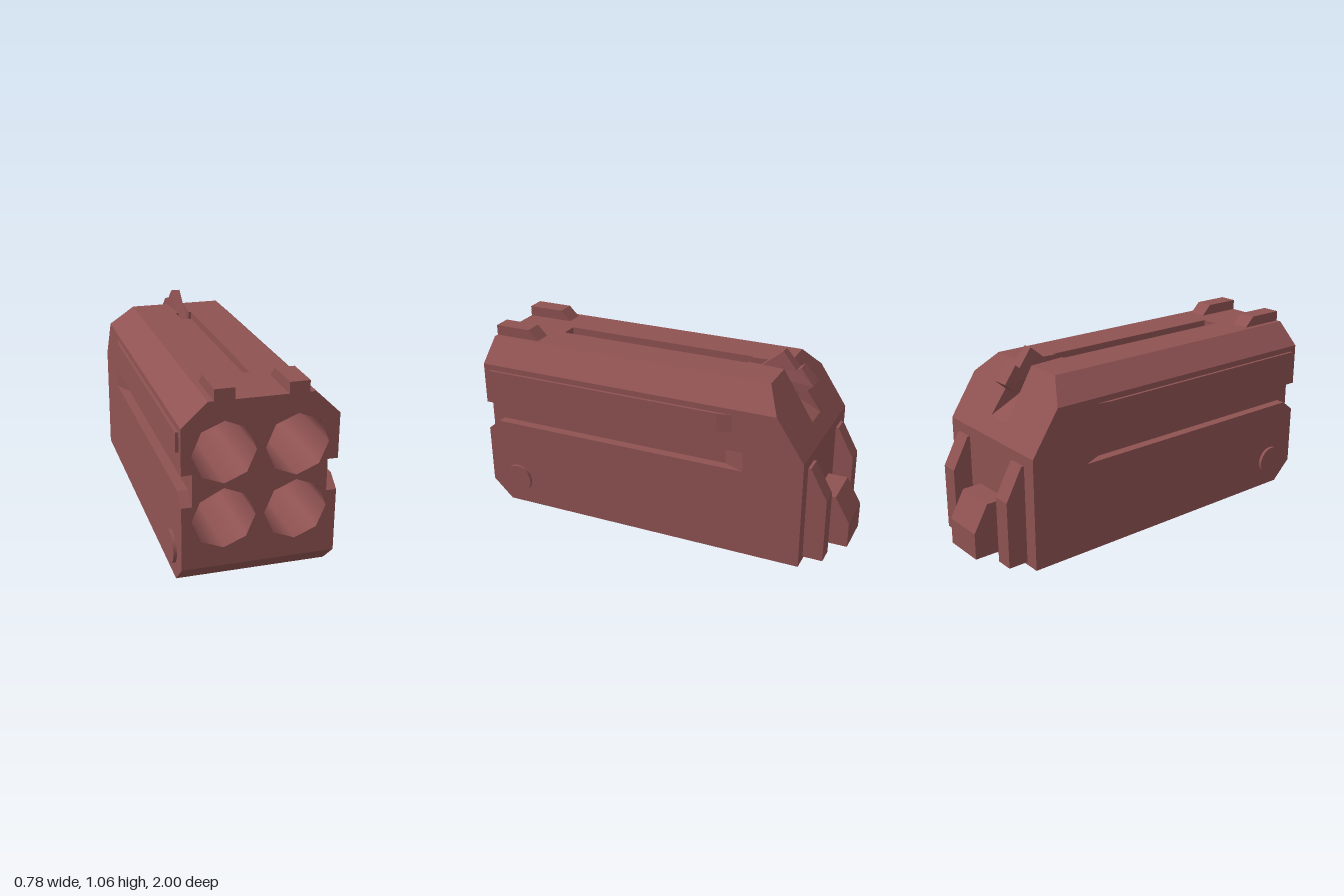
import * as THREE from 'three';

const material = new THREE.MeshStandardMaterial({ color: 0x8f5252 });
const tubeMaterial = new THREE.MeshStandardMaterial({ color: 0x8f5252, side: THREE.DoubleSide });
const W = 0.373;            // half width of the body
const BORE = 0.152;         // bore radius
const BORES = [[-0.173, 0.727], [0.173, 0.727], [-0.173, 0.4], [0.173, 0.4]];
const TUBE_END = -0.39;

const toShape = points => new THREE.Shape(points.map(p => new THREE.Vector2(...p)));

// Moves every vertex by a rule, then restores flat normals
function warp(geometry, rule) {
  const pos = geometry.attributes.position, v = new THREE.Vector3();
  for (let i = 0; i < pos.count; i++) {
    rule(v.fromBufferAttribute(pos, i));
    pos.setXYZ(i, v.x, v.y, v.z);
  }
  geometry.computeVertexNormals();
  return geometry;
}

// Front outline [x, y] swept along z from zBack to zFront
function section(shape, zFront, zBack) {
  return new THREE.ExtrudeGeometry(shape, { depth: zFront - zBack, bevelEnabled: false })
    .translate(0, 0, zBack);
}

// Side outline [z, y] swept across x from x0 to x1
function prism(points, x0, x1) {
  return new THREE.ExtrudeGeometry(toShape(points), { depth: x1 - x0, bevelEnabled: false })
    .rotateY(-Math.PI / 2).translate(x1, 0, 0);
}

// Closes a right-hand half outline with its mirror image
const mirrored = half => toShape([...half, ...half.map(([x, y]) => [-x, y]).reverse()]);

// Body outline with side grooves, bores and an optional top slot
function bodyShape(slot) {
  const half = [[W, 0.155], [W, 0.53], [0.323, 0.53], [0.323, 0.635], [W, 0.635], [W, 0.86], [0.25, 0.975]];
  if (slot) half.push([0.045, 0.975], [0.045, 0.935]);
  const shape = mirrored(half);
  for (const [x, y] of BORES) {
    const hole = [];
    for (let i = 0; i < 8; i++) {
      const a = i * Math.PI / 4;
      hole.push(new THREE.Vector2(x + BORE * Math.sin(a), y + BORE * Math.cos(a)));
    }
    shape.holes.push(new THREE.Path(hole));
  }
  return shape;
}

export function createModel() {
  const model = new THREE.Group();
  const add = (name, geometry, mat = material) => {
    const mesh = new THREE.Mesh(geometry, mat);
    mesh.name = name;
    model.add(mesh);
    return mesh;
  };

  // Front of the body, with the lower groove edge flared at the mouth
  add('bodyMuzzle', warp(section(bodyShape(false), 1, 0.93), v => {
    if (v.z > 0.99 && Math.abs(v.y - 0.53) < 1e-4 && Math.abs(v.x) > 0.32) v.y = 0.475;
  }));
  add('bodyFront', section(bodyShape(false), 0.93, 0.68));
  add('bodyMiddle', section(bodyShape(true), 0.68, TUBE_END));

  // Rear of the body: grooves run out to the sides
  const rearLow = mirrored([[W, 0.155], [W, 0.53], [0.323, 0.53], [0.323, 0.635]]);
  add('bodyRearLower', warp(section(rearLow, TUBE_END, -0.5), v => {
    if (v.z < -0.49) v.x = Math.sign(v.x) * W;
  }));
  add('bodyRearEnd', prism([[-0.5, 0.155], [-0.5, 0.635], [-0.815, 0.635], [-0.815, 0.155]], -W, W));

  // Sloped upper rear with the tapering lever notch
  const rearTop = mirrored([[W, 0.635], [W, 0.86], [0.25, 0.975], [0.05, 0.975], [0.07, 0.72]]);
  add('bodyRearUpper', warp(section(rearTop, TUBE_END, -0.8), v => {
    if (v.z < -0.5) v.z = -0.59 - (0.975 - v.y) * 0.225 / 0.34;
    else if (Math.abs(v.x) < 0.1) {
      v.x = Math.sign(v.x) * 0.03;
      if (v.y < 0.9) v.y = 0.92;
    }
  }));

  // Base with its front chamfer, and the rail below
  add('base', prism([[1, 0.155], [0.89, 0.05], [-0.815, 0.05], [-0.815, 0.155]], -W, W));
  add('bottomRail', prism([[0.645, 0], [0.645, 0.055], [-0.815, 0.055], [-0.815, 0]], -0.103, 0.103));

  // Smooth walls inside the four bores
  const length = 1 - TUBE_END;
  for (const [x, y] of BORES) {
    const tube = new THREE.CylinderGeometry(BORE - 0.0008, BORE - 0.0008, length, 8, 1, true)
      .rotateX(Math.PI / 2).translate(x, y, 1 - length / 2);
    add('boreWall', tube, tubeMaterial);
  }

  // Paired parts
  for (const s of [1, -1]) {
    const side = s > 0 ? 'left' : 'right';
    const span = (a, b) => (s > 0 ? [a, b] : [-b, -a]);

    add(side + 'TopLug', prism([[1, 0.97], [1, 1.03], [0.8, 1.03], [0.745, 0.975], [0.745, 0.97]], ...span(0.125, 0.222)));

    add(side + 'RearRib', prism(
      [[-0.81, 0.065], [-0.81, 0.58], [-0.83, 0.58], [-0.92, 0.415], [-0.92, 0.065]], ...span(0.2, 0.295)));

    // Raised strip whose rear end fades into the side
    const strip = prism([[0.96, 0.735], [0.96, 0.83], [-0.36, 0.83], [-0.36, 0.735]], ...span(0.365, 0.388));
    add(side + 'SideStrip', warp(strip, v => {
      if (v.z < 0 && Math.abs(v.x) < 0.38) v.z = -0.48;
    }));

    add(side + 'PivotDisc', new THREE.CylinderGeometry(0.081, 0.081, 0.03, 32)
      .rotateZ(Math.PI / 2).translate(s * 0.375, 0.195, 0.83));
  }

  // Rear centre block
  add('rearBlock', prism(
    [[-0.81, 0.065], [-0.81, 0.345], [-0.92, 0.345], [-1, 0.205], [-1, 0.065]], -0.115, 0.115));

  // Tilted lever, widening toward the rear
  const lever = prism([[-0.4, 0.915], [-0.575, 1.06], [-0.65, 0.97], [-0.675, 0.99],
    [-0.745, 0.905], [-0.69, 0.855], [-0.6, 0.84]], -1, 1);
  add('lever', warp(lever, v => {
    v.x *= 0.025 + Math.max(0, -0.575 - v.z) * 0.13;
  }));

  return model;
}
